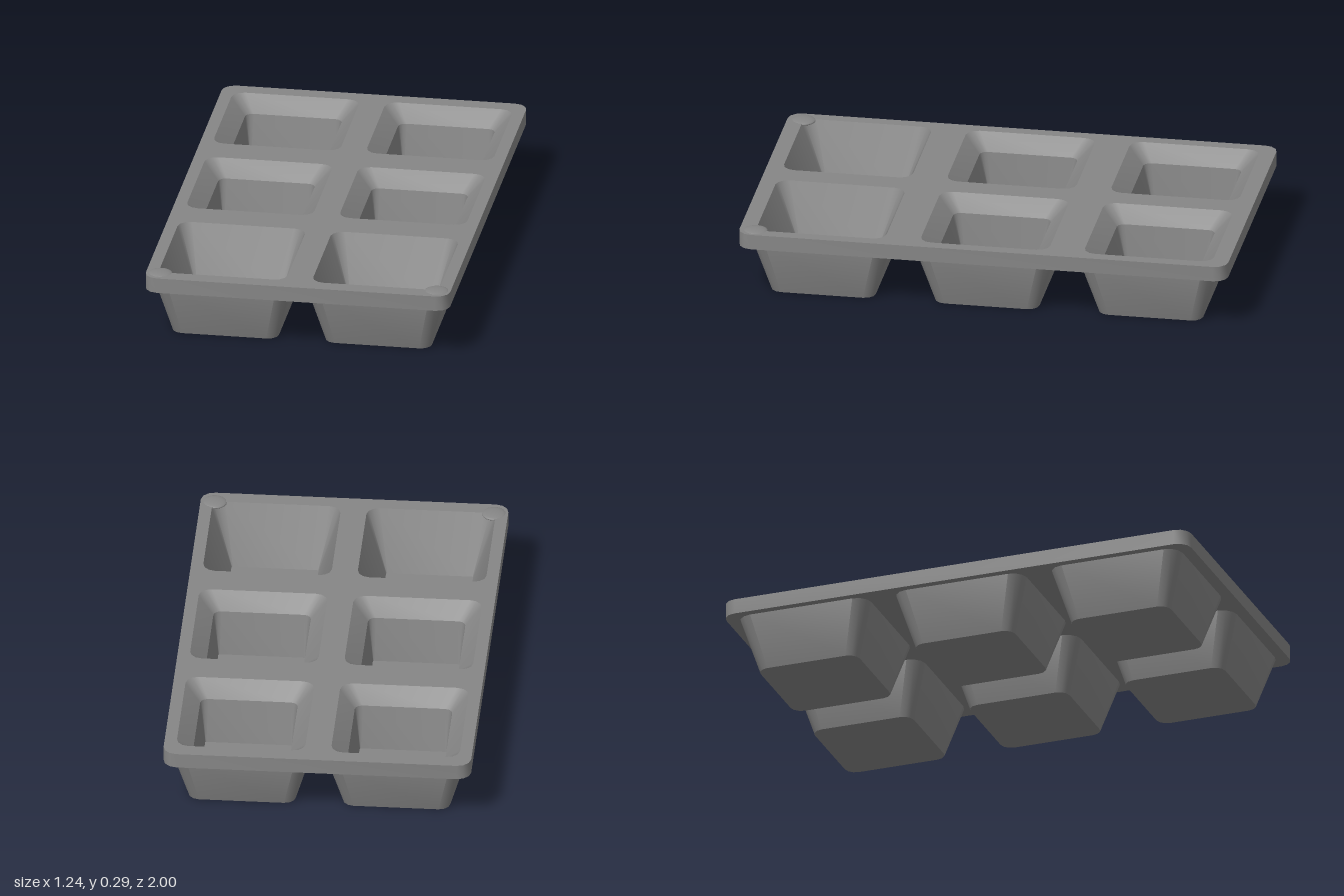
import * as THREE from 'three';
import { toCreasedNormals } from 'three/addons/utils/BufferGeometryUtils.js';

const TOP = 0.283, UNDER = 0.22, FLOOR = 0.04;

// Corner points of a rounded rectangle, as [x, z]
function roundedRect(hx, hz, r, steps = 3) {
  const pts = [];
  const signs = [[1, 1], [-1, 1], [-1, -1], [1, -1]];
  signs.forEach(([sx, sz], q) => {
    for (let i = 0; i <= steps; i++) {
      const a = (q + i / steps) * Math.PI / 2;
      pts.push([sx * (hx - r) + r * Math.cos(a), sz * (hz - r) + r * Math.sin(a)]);
    }
  });
  return pts;
}

// Skin through a list of rounded-rectangle rings [hx, hz, radius, y]
function loft(rings) {
  const loops = rings.map(([hx, hz, r, y]) => roundedRect(hx, hz, r).map(([x, z]) => [x, y, z]));
  const n = loops[0].length, pos = [];
  for (let k = 0; k < loops.length - 1; k++) {
    for (let i = 0; i < n; i++) {
      const j = (i + 1) % n;
      const a = loops[k][i], b = loops[k][j], c = loops[k + 1][j], d = loops[k + 1][i];
      pos.push(...a, ...b, ...d, ...b, ...c, ...d);
    }
  }
  const geo = new THREE.BufferGeometry();
  geo.setAttribute('position', new THREE.Float32BufferAttribute(pos, 3));
  return toCreasedNormals(geo, 0.55);
}

export function createModel() {
  const tray = new THREE.Group();
  tray.name = 'mouldTray';
  const material = new THREE.MeshStandardMaterial({ color: 0x868686 });
  const add = (geo, name) => {
    const mesh = new THREE.Mesh(geo, material);
    mesh.name = name;
    tray.add(mesh);
    return mesh;
  };
  const columns = [-0.3125, 0.3125], rows = [-0.67, 0, 0.67];

  // Top plate with six rounded openings
  const plate = new THREE.Shape(roundedRect(0.622, 1, 0.055).map(([x, z]) => new THREE.Vector2(x, z)));
  for (const cx of columns) for (const cz of rows) {
    plate.holes.push(new THREE.Path(
      roundedRect(0.26, 0.264, 0.05).map(([x, z]) => new THREE.Vector2(cx + x, cz + z))));
  }
  const plateGeo = new THREE.ExtrudeGeometry(plate, { depth: TOP - UNDER, bevelEnabled: false });
  plateGeo.rotateX(Math.PI / 2).translate(0, TOP, 0);
  add(toCreasedNormals(plateGeo, 0.55), 'topPlate');

  // Cups: inner floor, inner wall, rim, outer wall, underside
  for (const cx of columns) rows.forEach((cz, row) => {
    // the front row tapers straight; the others have a bevelled lip
    const lip = row < 2 ? [[0.197, 0.2, 0.03, UNDER]] : [];
    const cup = add(loft([
      [0, 0, 0, FLOOR],
      [0.176, 0.162, 0.005, FLOOR],
      ...lip,
      [0.26, 0.264, 0.05, TOP],
      [0.278, 0.28, 0.06, UNDER],
      [0.217, 0.213, 0.045, 0],
      [0, 0, 0, 0],
    ]), row < 2 ? 'lippedCup' : 'taperedCup');
    cup.position.set(cx, 0, cz);
  });

  // Slight swellings on the two outer front corners
  for (const side of [-1, 1]) {
    const swelling = add(new THREE.SphereGeometry(1, 20, 12), 'cornerSwelling');
    swelling.scale.set(0.05, 0.011, 0.05);
    swelling.position.set(side * 0.565, TOP - 0.004, 0.935);
  }

  return tray;
}
